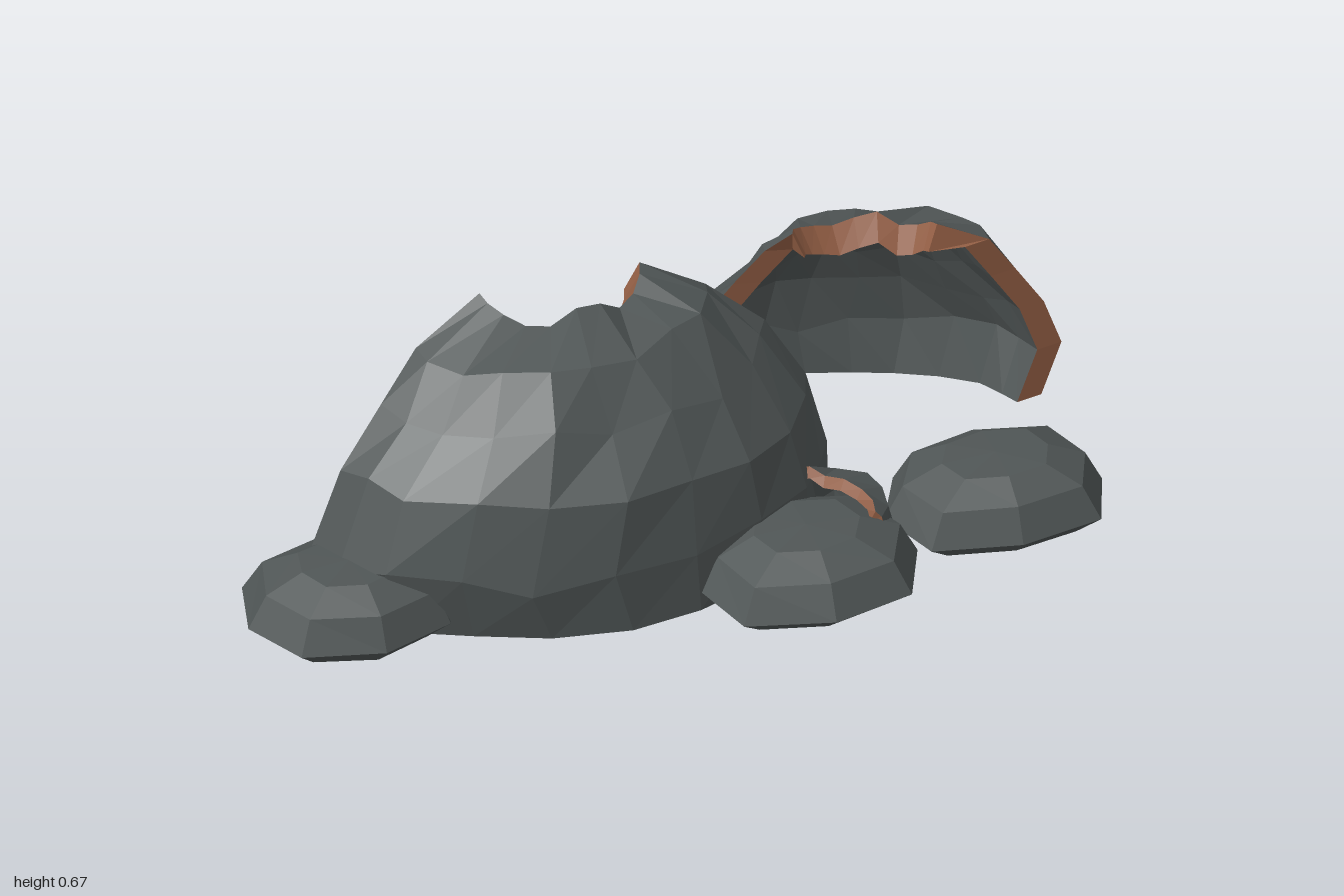
import * as THREE from 'three';

const stoneMat = new THREE.MeshStandardMaterial({ color: 0x505656, flatShading: true });
stoneMat.name = 'grey stone';
const rimMat = new THREE.MeshStandardMaterial({ color: 0x945f45, flatShading: true });
rimMat.name = 'rust brown rim';

// repeatable noise in -1..1
const noise = (a, b, c) => {
  const s = Math.sin(a * 12.99 + b * 78.23 + c * 37.72) * 43758.55;
  return (s - Math.floor(s)) * 2 - 1;
};

function facetMesh(name, quads, material) {
  const pos = [];
  for (const [a, b, c, d] of quads) pos.push(...a, ...b, ...c, ...a, ...c, ...d);
  const geo = new THREE.BufferGeometry();
  geo.setAttribute('position', new THREE.Float32BufferAttribute(pos, 3));
  geo.computeVertexNormals();
  const mesh = new THREE.Mesh(geo, material);
  mesh.name = name;
  return mesh;
}

// Half-dome shell. Each row: [y, left x, left z, right x, right z, z at middle].
// teeth: heights of the broken top edge from left to right.
function shell(name, rows, teeth, thick, rough, footMat) {
  const n = teeth.length - 1, top = rows.length - 1;
  const side = Math.sign(rows[0][5] - rows[0][2]);
  const layer = (inner) => rows.map(([y, xl, zl, xr, zr, zm], i) => {
    const last = i === top, t = inner ? thick * (last ? 0.4 : 1) : 0;
    const depth = zm - (zl + zr) / 2 - side * t * 0.85;
    // the inner edge stands slightly proud, so the broken edge is bevelled
    const lip = inner ? side * thick * 0.22 : 0;
    return teeth.map((tooth, j) => {
      const a = Math.PI * j / n, u = (1 - Math.cos(a)) / 2;
      const k = last || j === 0 || j === n ? 0 : rough;
      return [
        xl + t + (xr - xl - 2 * t) * u + k * noise(i, j, 1),
        last ? tooth - (inner ? thick : 0) : y + (i ? k * 1.6 * noise(i, j, 2) : 0),
        zl + (zr - zl) * u + depth * Math.max(0, Math.sin(a)) ** 1.2 - lip + k * noise(i, j, 3),
      ];
    });
  });
  const out = layer(false), inn = layer(true);
  const faces = [], lining = [], rim = [], foot = [];
  for (let i = 0; i < top; i++) {
    for (let j = 0; j < n; j++) {
      faces.push([out[i][j], out[i][j + 1], out[i + 1][j + 1], out[i + 1][j]]);
      lining.push([inn[i][j], inn[i + 1][j], inn[i + 1][j + 1], inn[i][j + 1]]);
    }
    rim.push([out[i][0], out[i + 1][0], inn[i + 1][0], inn[i][0]]);
    rim.push([inn[i][n], inn[i + 1][n], out[i + 1][n], out[i][n]]);
  }
  for (let j = 0; j < n; j++) {
    rim.push([out[top][j], out[top][j + 1], inn[top][j + 1], inn[top][j]]);
    foot.push([out[0][j], inn[0][j], inn[0][j + 1], out[0][j + 1]]);
  }
  // shells that bulge backwards need the opposite corner order
  const fix = (q) => (side < 0 ? q.map((f) => [...f].reverse()) : q);
  const group = new THREE.Group();
  group.name = name;
  group.add(
    facetMesh(name + 'Outside', fix(faces), stoneMat),
    facetMesh(name + 'Lining', fix(lining), stoneMat),
    facetMesh(name + 'BrokenEdge', fix(rim), rimMat),
    facetMesh(name + 'Foot', fix(foot), footMat),
  );
  return group;
}

// Flat eight-sided boulder
function boulder(name, x, z, rx, rz, turn, seed) {
  const profile = [[0, 0], [0.76, 0], [1, 0.045], [0.83, 0.122], [0.48, 0.162], [0, 0.168]];
  const geo = new THREE.LatheGeometry(profile.map(([r, y]) => new THREE.Vector2(r, y)), 8);
  const p = geo.attributes.position;
  for (let i = 0; i < p.count; i++) {
    const side = Math.floor(i / profile.length) % 8, ring = i % profile.length;
    const k = (side % 2 ? 1.08 : 1) + 0.03 * noise(side, 0, seed) + 0.02 * noise(side, ring, seed);
    const a = side * Math.PI / 4 + turn, r = profile[ring][0] * k;
    p.setXYZ(i, Math.sin(a) * r * rx, p.getY(i), Math.cos(a) * r * rz);
  }
  geo.computeVertexNormals();
  const mesh = new THREE.Mesh(geo, stoneMat);
  mesh.name = name;
  mesh.position.set(x, 0, z);
  return mesh;
}

export function createModel() {
  const model = new THREE.Group();
  model.name = 'brokenRockShell';

  // large front half
  model.add(shell('largeShell', [
    [0, -0.77, 0.04, 0.38, 0.01, 0.35],
    [0.15, -0.82, 0.04, 0.38, 0, 0.375],
    [0.33, -0.75, 0.03, 0.335, -0.012, 0.35],
    [0.47, -0.65, 0.01, 0.25, -0.042, 0.265],
    [0.58, -0.56, -0.02, 0.12, -0.06, 0.185],
    [0.65, -0.4, -0.06, -0.03, -0.065, 0.055],
  ], [0.665, 0.655, 0.64, 0.62, 0.62, 0.66, 0.655, 0.62, 0.63, 0.655, 0.665], 0.075, 0.014, rimMat));

  // smaller rear half, opening to the front
  model.add(shell('smallShell', [
    [0.005, 0.2, -0.41, 0.95, -0.23, -0.515],
    [0.13, 0.18, -0.41, 0.998, -0.235, -0.52],
    [0.25, 0.22, -0.39, 0.955, -0.228, -0.505],
    [0.36, 0.28, -0.35, 0.885, -0.215, -0.465],
    [0.46, 0.34, -0.31, 0.82, -0.2, -0.395],
    [0.52, 0.39, -0.27, 0.7, -0.2, -0.31],
  ], [0.52, 0.52, 0.51, 0.5, 0.49, 0.505, 0.52, 0.49, 0.5, 0.52, 0.525], 0.06, 0.013, rimMat));

  // little shard behind the front boulder, reaching under the large shell
  const shard = shell('shard', [
    [0.01, -0.16, 0.02, 0.12, 0, -0.13],
    [0.08, -0.16, 0.02, 0.12, 0, -0.125],
    [0.15, -0.13, 0.015, 0.11, 0.01, -0.085],
    [0.2, -0.1, 0.02, 0.1, 0.02, 0],
  ], [0.2, 0.205, 0.19, 0.2, 0.195, 0.185, 0.165], 0.024, 0.012, stoneMat);
  shard.position.set(0.345, 0, 0.225);
  shard.rotation.y = -0.96;
  model.add(shard);

  model.add(
    boulder('rightBoulder', -0.765, 0.138, 0.236, 0.197, 0.08, 1),
    boulder('frontBoulder', 0.225, 0.32, 0.25, 0.212, 0, 2),
    boulder('leftBoulder', 0.708, 0.182, 0.25, 0.195, 0, 3),
  );
  return model;
}
